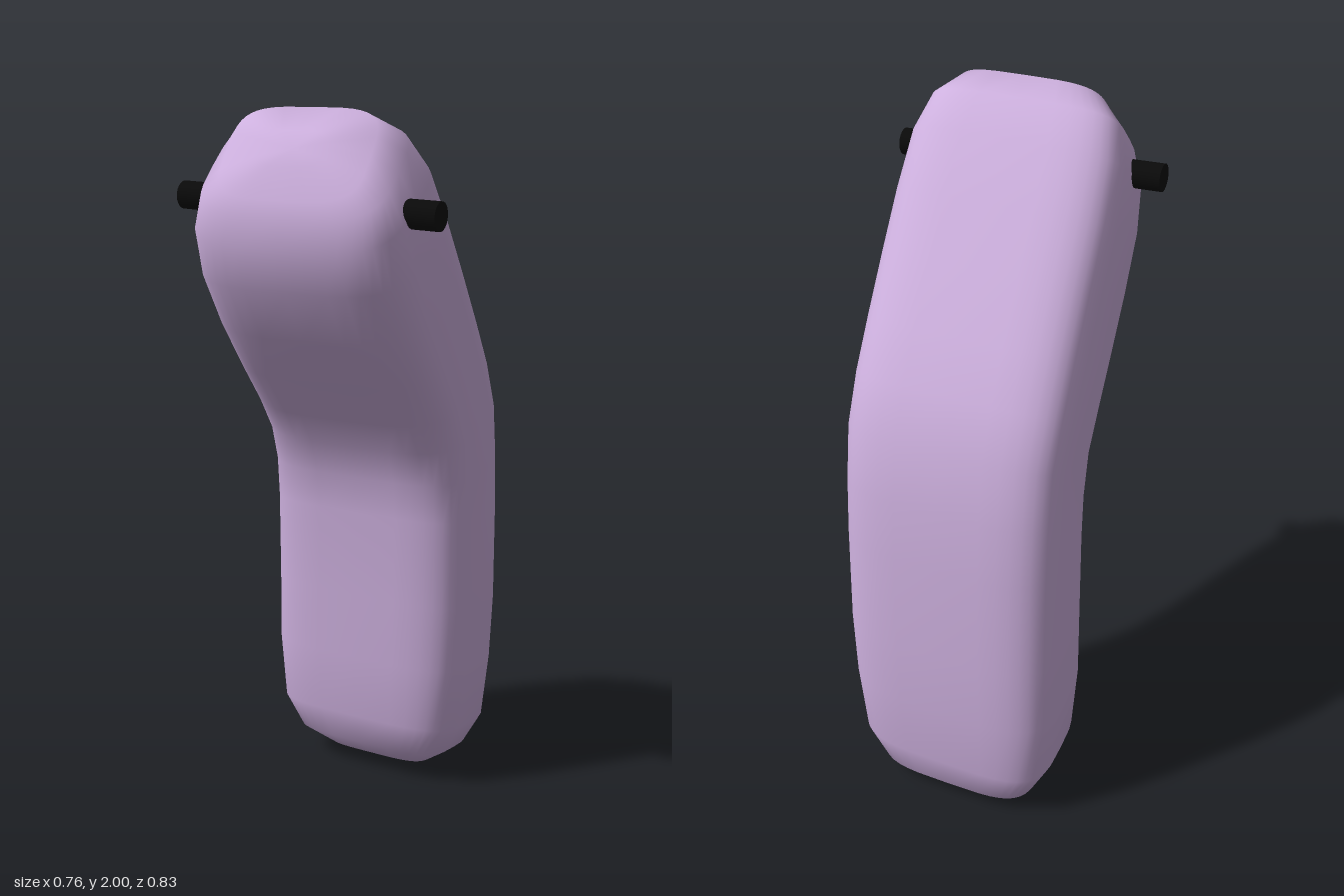
import * as THREE from 'three';

// Cross-sections from the base to the head:
// [front z, front y, back z, back y, min x, max x]
const SECTIONS = [
  [-0.22, 0.02, -0.30, 0.004, -0.13, 0.05],
  [-0.14, 0.04, -0.345, 0.008, -0.21, 0.125],
  [-0.08, 0.10, -0.39, 0.05, -0.295, 0.195],
  [-0.05, 0.20, -0.41, 0.15, -0.345, 0.25],
  [-0.035, 0.40, -0.415, 0.35, -0.355, 0.272],
  [-0.03, 0.60, -0.41, 0.55, -0.35, 0.283],
  [-0.015, 0.86, -0.39, 0.84, -0.34, 0.29],
  [0.0, 0.97, -0.37, 1.01, -0.335, 0.295],
  [0.04, 1.07, -0.34, 1.18, -0.33, 0.30],
  [0.10, 1.16, -0.28, 1.32, -0.33, 0.302],
  [0.20, 1.28, -0.20, 1.45, -0.325, 0.305],
  [0.30, 1.41, -0.10, 1.60, -0.32, 0.308],
  [0.385, 1.55, 0.0, 1.74, -0.315, 0.31],
  [0.42, 1.66, 0.10, 1.88, -0.302, 0.302],
  [0.415, 1.74, 0.18, 1.962, -0.272, 0.272],
  [0.405, 1.78, 0.245, 2.0, -0.21, 0.21],
  [0.375, 1.86, 0.315, 1.945, -0.09, 0.09],
];
const SEGMENTS = 40;

// Rounded-rectangle coordinate: a softened cosine or sine
const soften = (v) => Math.sign(v) * Math.sqrt(Math.abs(v));

function bodyGeometry() {
  const positions = [];
  const index = [];
  const centre = ([zf, yf, zb, yb, x0, x1]) => [(x0 + x1) / 2, (yf + yb) / 2, (zf + zb) / 2];

  for (const s of SECTIONS) {
    const [zf, yf, zb, yb, x0, x1] = s;
    const [cx, cy, cz] = centre(s);
    for (let i = 0; i < SEGMENTS; i++) {
      const a = (i / SEGMENTS) * Math.PI * 2;
      const u = soften(Math.cos(a)), v = soften(Math.sin(a));
      positions.push(cx + (u * (x1 - x0)) / 2, cy + (v * (yf - yb)) / 2, cz + (v * (zf - zb)) / 2);
    }
  }

  // Skin between neighbouring sections
  const last = SECTIONS.length - 1;
  for (let r = 0; r < last; r++) {
    for (let i = 0; i < SEGMENTS; i++) {
      const j = (i + 1) % SEGMENTS;
      const a = r * SEGMENTS + i, b = r * SEGMENTS + j;
      index.push(a, a + SEGMENTS, b, b, a + SEGMENTS, b + SEGMENTS);
    }
  }

  // Close both ends
  const bottom = positions.length / 3;
  positions.push(...centre(SECTIONS[0]), ...centre(SECTIONS[last]));
  for (let i = 0; i < SEGMENTS; i++) {
    const j = (i + 1) % SEGMENTS;
    index.push(bottom, i, j);
    index.push(bottom + 1, last * SEGMENTS + j, last * SEGMENTS + i);
  }

  const geometry = new THREE.BufferGeometry();
  geometry.setAttribute('position', new THREE.Float32BufferAttribute(positions, 3));
  geometry.setIndex(index);
  geometry.computeVertexNormals();
  return geometry;
}

export function createModel() {
  const model = new THREE.Group();
  model.name = 'bentBody';

  // Soft, bent body leaning forward at the head
  const body = new THREE.Mesh(bodyGeometry(), new THREE.MeshStandardMaterial({ color: 0xcdb0de }));
  body.name = 'body';
  model.add(body);

  // Short peg eyes on either side of the head, tilted a touch
  const black = new THREE.MeshStandardMaterial({ color: 0x0a0a0a });
  for (const side of [-1, 1]) {
    const eye = new THREE.Mesh(new THREE.CylinderGeometry(0.037, 0.037, 0.16, 24), black);
    eye.name = side > 0 ? 'leftEye' : 'rightEye';
    eye.position.set(side * 0.298, 1.76 - side * 0.008, 0.278);
    eye.rotation.z = Math.PI / 2 - 0.03;
    model.add(eye);
  }
  return model;
}
